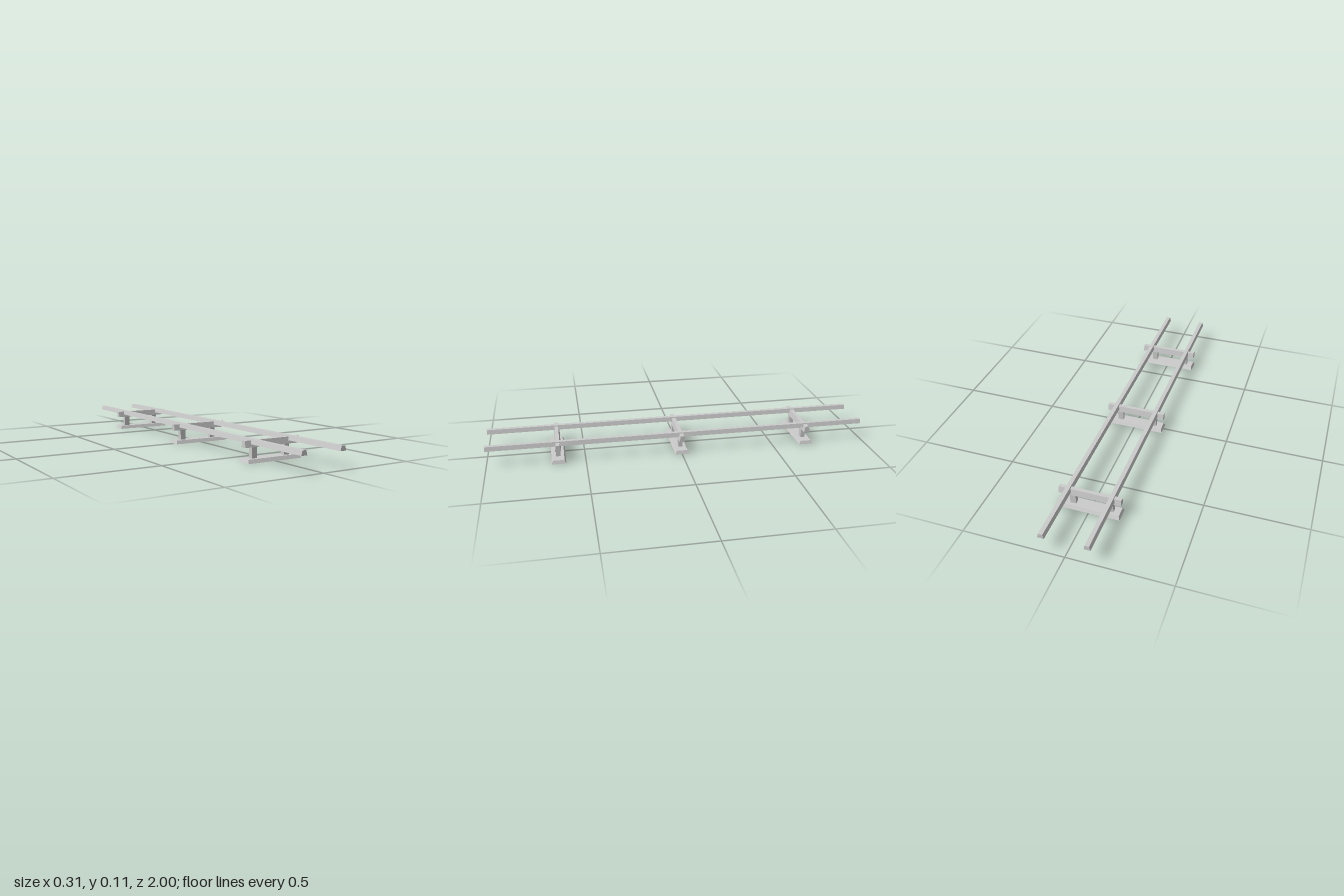
import * as THREE from 'three';

const material = new THREE.MeshStandardMaterial({ color: 0xcccccc, flatShading: true });

// Box from y0 to y1 whose top face may be narrower than its bottom face
function taperedBar(name, [bottomX, bottomZ], [topX, topZ], y0, y1) {
  const geometry = new THREE.BoxGeometry(bottomX, y1 - y0, bottomZ);
  const pos = geometry.attributes.position;
  for (let i = 0; i < pos.count; i++) {
    if (pos.getY(i) > 0) {
      pos.setX(i, Math.sign(pos.getX(i)) * topX / 2);
      pos.setZ(i, Math.sign(pos.getZ(i)) * topZ / 2);
    }
  }
  geometry.translate(0, (y0 + y1) / 2, 0);
  geometry.computeVertexNormals();
  const mesh = new THREE.Mesh(geometry, material);
  mesh.name = name;
  return mesh;
}

// Footing, two posts and a crossbeam
function createSupport(z) {
  const support = new THREE.Group();
  support.name = 'support';
  support.add(taperedBar('footing', [0.308, 0.074], [0.296, 0.058], 0, 0.018));
  for (const x of [-0.101, 0.085]) {
    const post = taperedBar('post', [0.029, 0.023], [0.029, 0.023], 0.017, 0.071);
    post.position.x = x;
    support.add(post);
  }
  support.add(taperedBar('crossbeam', [0.31, 0.031], [0.31, 0.019], 0.07, 0.102));
  support.position.z = z;
  return support;
}

export function createModel() {
  const track = new THREE.Group();
  track.name = 'railTrack';

  // Parallel rails with a trapezoid section
  for (const side of [-1, 1]) {
    const rail = taperedBar(side > 0 ? 'leftRail' : 'rightRail', [0.032, 2], [0.021, 2], 0.085, 0.108);
    rail.position.x = side * 0.108;
    track.add(rail);
  }

  // Supports along the track
  for (const z of [-0.682, -0.002, 0.638]) track.add(createSupport(z));

  return track;
}
